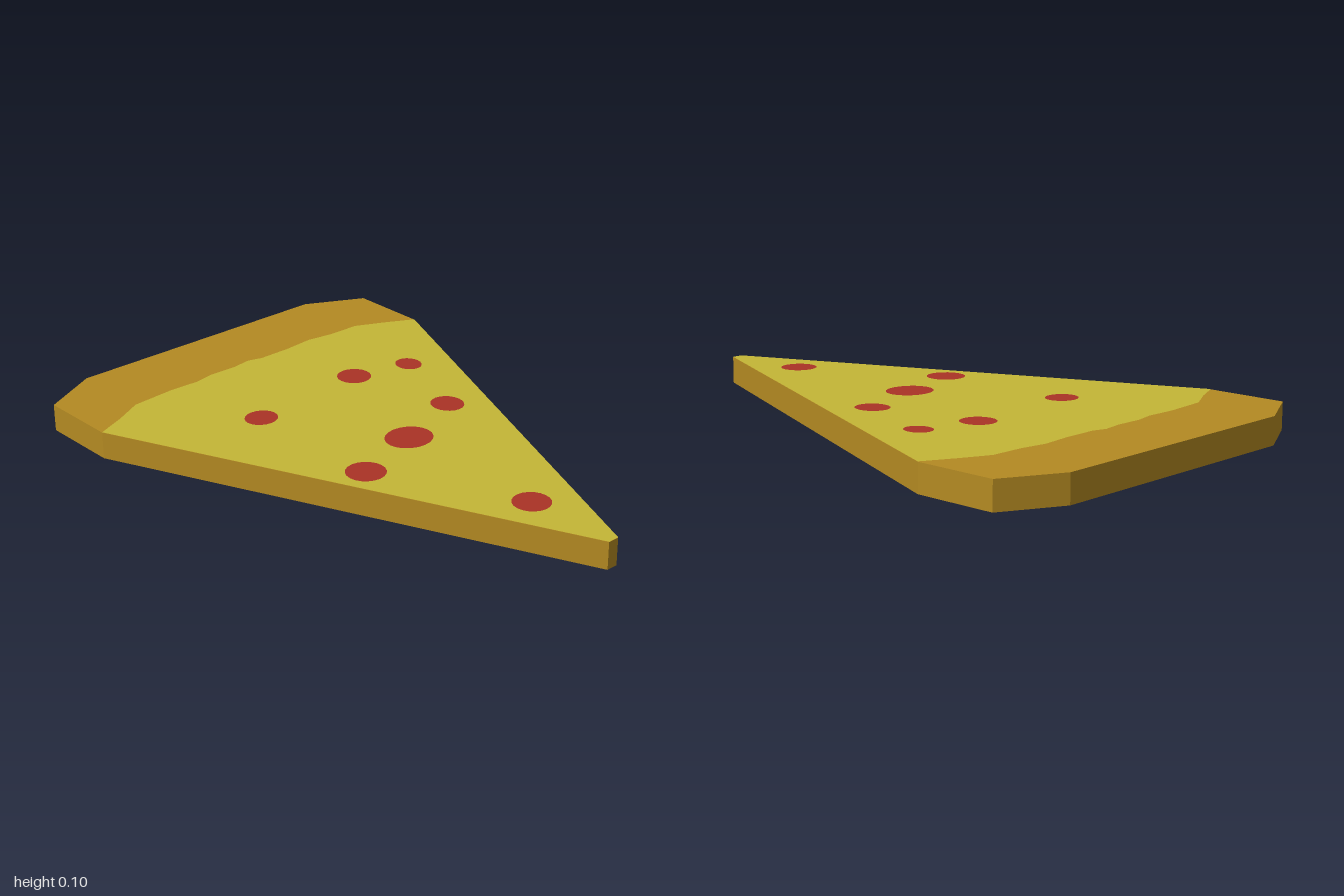
import * as THREE from 'three';

const HEIGHT = 0.095;

const crustMat = new THREE.MeshStandardMaterial({ color: 0xb48a22 });
crustMat.name = 'crust brown';
const cheeseMat = new THREE.MeshStandardMaterial({ color: 0xc4b636 });
cheeseMat.name = 'cheese yellow';
const pepperoniMat = new THREE.MeshStandardMaterial({ color: 0xab3326 });
pepperoniMat.name = 'pepperoni red';

// Shape from [x, z] plan points; laid flat, shape y becomes -z
const planShape = (points) => new THREE.Shape(points.map(([x, z]) => new THREE.Vector2(x, -z)));

function addFlat(group, name, geometry, material, y) {
  const mesh = new THREE.Mesh(geometry.rotateX(-Math.PI / 2), material);
  mesh.name = name;
  mesh.position.y = y;
  group.add(mesh);
  return mesh;
}

export function createModel() {
  const group = new THREE.Group();
  group.name = 'pizzaSlice';

  // Dough slab: wedge with a bevelled back rim
  const wedge = [[-0.02, 1], [0.02, 1], [0.705, -0.61]];
  const outline = planShape([...wedge, [0.705, -0.895], [0.5, -1], [-0.5, -1], [-0.705, -0.895], [-0.705, -0.61]]);
  addFlat(group, 'doughAndCrust',
    new THREE.ExtrudeGeometry(outline, { depth: HEIGHT, bevelEnabled: false }), crustMat, 0);

  // Cheese face with a wavy edge along the crust
  const cheese = planShape([
    ...wedge, [0.6, -0.665], [0.5, -0.712], [0.38, -0.715], [0.29, -0.73], [0.18, -0.72], [0.06, -0.72],
    [0.01, -0.735], [-0.06, -0.725], [-0.16, -0.728], [-0.23, -0.715], [-0.34, -0.72], [-0.5, -0.708],
    [-0.6, -0.655], [-0.705, -0.61],
  ]);
  addFlat(group, 'cheese', new THREE.ShapeGeometry(cheese), cheeseMat, HEIGHT + 0.001);

  // Pepperoni: x, z, radius in x, radius in z
  const slices = [
    [-0.25, -0.34, 0.058, 0.054], [0.2, -0.38, 0.06, 0.06], [0.412, -0.328, 0.045, 0.05],
    [0.286, 0, 0.056, 0.06], [0.014, 0.1, 0.085, 0.076], [-0.252, 0.185, 0.067, 0.067],
    [-0.01, 0.676, 0.063, 0.063],
  ];
  slices.forEach(([x, z, rx, rz], i) => {
    const disc = addFlat(group, `pepperoni${i + 1}`, new THREE.CircleGeometry(1, 20), pepperoniMat, HEIGHT + 0.002);
    disc.position.x = x;
    disc.position.z = z;
    disc.scale.set(rx, 1, rz);
  });

  return group;
}
